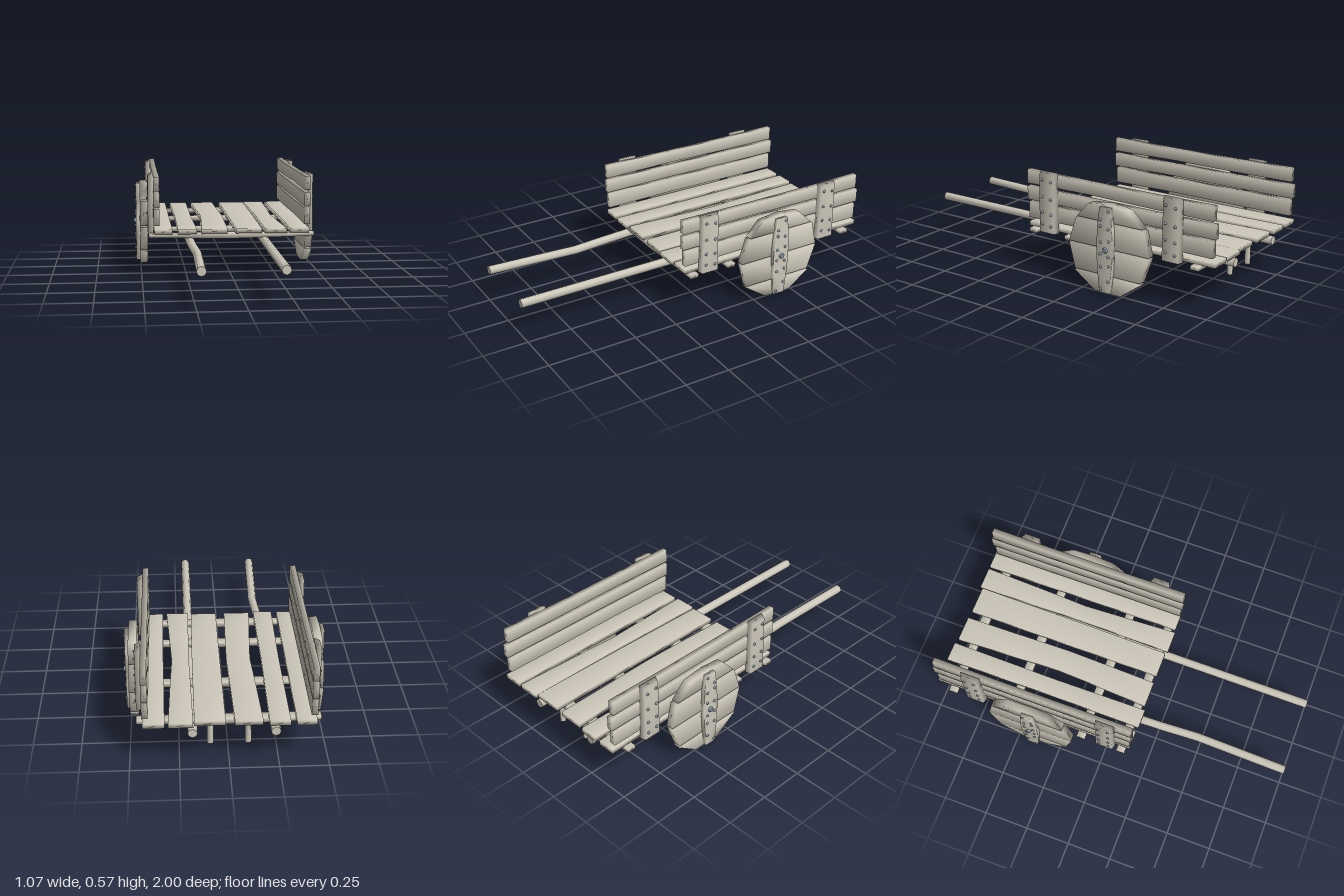
import * as THREE from 'three';
import { mergeVertices } from 'three/addons/utils/BufferGeometryUtils.js';

const wood = new THREE.MeshStandardMaterial({ color: 0xcdc8ba });
wood.name = 'weathered wood';
const metal = new THREE.MeshStandardMaterial({ color: 0x8c9cab });
metal.name = 'blue grey metal';

// Share vertices between faces so the shading rolls softly over the edges
function soften(geo) {
  geo.deleteAttribute('uv');
  geo.deleteAttribute('normal');
  const g = mergeVertices(geo, 1e-5);
  g.computeVertexNormals();
  return g;
}

function add(parent, name, geo, material = wood) {
  const mesh = new THREE.Mesh(geo, material);
  mesh.name = name;
  parent.add(mesh);
  return mesh;
}

// Bar running along z through stations [z, x0, x1, y0, y1]
function board(stations) {
  const n = stations.length - 1;
  const geo = new THREE.BoxGeometry(1, 1, 1, 1, 1, n);
  const p = geo.attributes.position;
  for (let i = 0; i < p.count; i++) {
    const [z, x0, x1, y0, y1] = stations[Math.round((p.getZ(i) + 0.5) * n)];
    p.setXYZ(i, p.getX(i) < 0 ? x0 : x1, p.getY(i) < 0 ? y0 : y1, z);
  }
  return soften(geo);
}

// Flat outline of [z, y] points, given thickness along x about centre x
function slab(points, x, thickness) {
  const shape = new THREE.Shape(points.map(([z, y]) => new THREE.Vector2(z, y)));
  const geo = new THREE.ExtrudeGeometry(shape, { depth: thickness, bevelEnabled: false });
  geo.rotateY(-Math.PI / 2).translate(x + thickness / 2, 0, 0);
  return soften(geo);
}

function rivet(parent, x, y, z) {
  add(parent, 'rivet', new THREE.SphereGeometry(0.008, 8, 6), metal).position.set(x, y, z);
}

// Eight-sided pole along z, passing through centres [z, x, y]
function pole(centres, r) {
  const n = centres.length - 1;
  const geo = new THREE.CylinderGeometry(r, r, 1, 8, n);
  geo.rotateX(Math.PI / 2);
  const p = geo.attributes.position;
  for (let i = 0; i < p.count; i++) {
    const [z, x, y] = centres[Math.round((p.getZ(i) + 0.5) * n)];
    p.setXYZ(i, p.getX(i) + x, p.getY(i) + y, z);
  }
  geo.computeVertexNormals();
  return geo;
}

// Upright stake with chamfered outer edges and a sloped top
function stake(s, z) {
  const geo = new THREE.BoxGeometry(1, 1, 1);
  const p = geo.attributes.position;
  for (let i = 0; i < p.count; i++) {
    const outer = p.getX(i) * s > 0, top = p.getY(i) > 0;
    const half = (outer ? 0.046 : 0.056) + (top ? -0.002 : 0.002);
    p.setXYZ(i, s * (outer ? 0.463 : 0.432), top ? (outer ? 0.56 : 0.57) : 0.236,
      z + Math.sign(p.getZ(i)) * half);
  }
  return soften(geo);
}

function buildFloor(cart) {
  const y0 = 0.244, y1 = 0.27;
  // [front x0, x1, middle x0, x1, back x0, x1, front z, back z]
  const planks = [
    [-0.43, -0.33, -0.43, -0.33, -0.43, -0.33, 0.155, -1],
    [-0.3, -0.195, -0.295, -0.2, -0.3, -0.195, 0.16, -1],
    [-0.17, -0.025, -0.14, -0.012, -0.165, -0.025, 0.15, -0.99],
    [0.022, 0.165, 0.022, 0.172, 0.02, 0.175, 0.15, -0.985],
    [0.182, 0.305, 0.188, 0.28, 0.18, 0.303, 0.16, -1],
    [0.325, 0.43, 0.325, 0.43, 0.32, 0.43, 0.155, -1],
  ];
  for (const [a, b, c, d, e, f, zf, zb] of planks) {
    add(cart, 'floorPlank', board([
      [zb, e, f, y0, y1],
      [-0.65, (c + e) / 2, (d + f) / 2, y0, y1],
      [-0.38, c, d, y0, y1],
      [-0.1, (a + c) / 2, (b + d) / 2, y0, y1],
      [zf, a, b, y0, y1],
    ]));
  }

  // Cross bars under the planks, slightly thicker at the middle
  for (const z of [-0.9, -0.55, -0.125, 0.11]) {
    const bar = board([
      [-0.46, -0.024, 0.024, 0.222, 0.243],
      [0, -0.026, 0.026, 0.213, 0.245],
      [0.46, -0.024, 0.024, 0.222, 0.243],
    ]);
    bar.rotateY(Math.PI / 2);
    add(cart, 'crossBar', bar).position.z = z;
  }
}

function buildShafts(cart) {
  add(cart, 'straightShaft', pole([[-0.98, 0.183, 0.198], [1, 0.183, 0.198]], 0.025));
  add(cart, 'bentShaft', pole([
    [-0.98, -0.23, 0.198], [0.1, -0.232, 0.198], [0.28, -0.226, 0.193],
    [0.48, -0.214, 0.188], [0.65, -0.219, 0.192], [1, -0.228, 0.198],
  ], 0.025));

  // Rest legs at the back
  for (const x of [-0.097, 0.094]) {
    const leg = add(cart, 'restLeg', new THREE.CylinderGeometry(0.016, 0.016, 0.13, 8));
    leg.position.set(x, 0.156, -0.9);
  }
}

function buildSide(cart, s) {
  const side = new THREE.Group();
  side.name = s > 0 ? 'leftSide' : 'rightSide';
  cart.add(side);
  const xs = [0.401 * s, 0.433 * s].sort((a, b) => a - b);

  // Three wall boards [bottom, top, front z, back z, edge wear]
  for (const [y0, y1, zf, zb, wear] of [
    [0.292, 0.382, 0.155, -0.985, 0.004],
    [0.392, 0.468, 0.165, -0.998, 0.003],
    [0.483, 0.56, 0.165, -0.985, 0.005],
  ]) {
    add(side, 'wallBoard', board([
      [zb, ...xs, y0, y1],
      [-0.65, ...xs, y0, y1 - wear],
      [-0.25, ...xs, y0 + wear, y1 - wear],
      [zf, ...xs, y0, y1],
    ]));
  }

  // Stakes with paired rivets
  for (const z of [0.014, -0.76]) {
    add(side, 'wallStake', stake(s, z));
    for (const y of [0.525, 0.43, 0.345, 0.28])
      for (const d of [-1, 1]) rivet(side, s * 0.463, y + d * 0.004, z + d * 0.028);
  }

  buildWheel(side, s);
}

function buildWheel(side, s) {
  const wheel = new THREE.Group();
  wheel.name = 'wheel';
  side.add(wheel);

  // Four horizontal planks cut to a rough round outline
  const planks = [
    [[-0.49, 0], [-0.33, 0], [-0.2, 0.09], [-0.615, 0.09]],
    [[-0.61, 0.098], [-0.203, 0.098], [-0.166, 0.237], [-0.66, 0.237]],
    [[-0.66, 0.245], [-0.166, 0.245], [-0.21, 0.38], [-0.63, 0.38]],
    [[-0.62, 0.388], [-0.215, 0.388], [-0.29, 0.47], [-0.41, 0.484], [-0.535, 0.47]],
  ];
  for (const points of planks) add(wheel, 'wheelPlank', slab(points, s * 0.481, 0.044));

  // Upright brace, wider at the hub
  const c = -0.406;
  add(wheel, 'wheelBrace', slab([
    [c - 0.03, 0.01], [c + 0.032, 0.01], [c + 0.046, 0.15], [c + 0.05, 0.25], [c + 0.045, 0.36],
    [c + 0.032, 0.47], [c - 0.035, 0.47], [c - 0.047, 0.36], [c - 0.05, 0.25], [c - 0.046, 0.15],
  ], s * 0.513, 0.024));
  [0.455, 0.405, 0.36, 0.285, 0.21, 0.15, 0.075, 0.028].forEach((y, i) => {
    rivet(wheel, s * 0.525, y, c + (i % 2 ? 0.024 : -0.024));
    if (i > 1 && i < 6) rivet(wheel, s * 0.525, y + 0.01, c - (i % 2 ? 0.026 : -0.026));
  });

  // Hub bolt
  const hub = add(wheel, 'hubBolt', new THREE.CylinderGeometry(0.012, 0.02, 0.022, 10), metal);
  hub.rotation.z = -s * Math.PI / 2;
  hub.position.set(s * 0.525, 0.243, c - 0.004);
}

export function createModel() {
  const cart = new THREE.Group();
  cart.name = 'handcart';
  buildFloor(cart);
  buildShafts(cart);
  for (const s of [-1, 1]) buildSide(cart, s);
  return cart;
}
